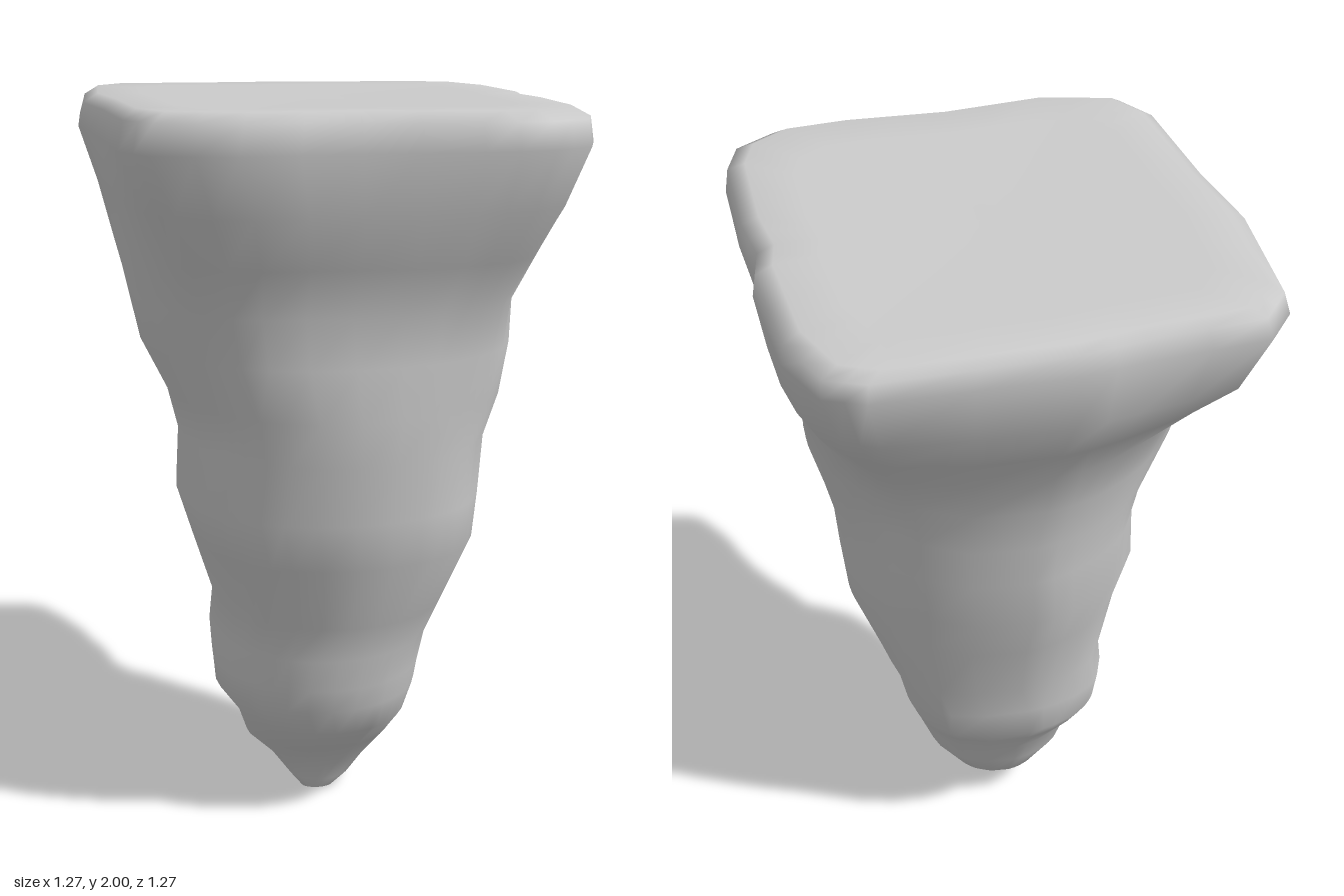
import * as THREE from 'three';

// Rounded-square plan outline of the top, counter-clockwise from above (x, z)
const OUTLINE = [
  [-0.53, -0.59], [-0.61, -0.49], [-0.635, -0.13], [-0.6, 0.12], [-0.575, 0.47],
  [-0.51, 0.58], [-0.3, 0.635], [0, 0.615], [0.3, 0.635], [0.48, 0.625],
  [0.59, 0.56], [0.63, 0.45], [0.635, 0.15], [0.615, 0], [0.635, -0.1],
  [0.615, -0.42], [0.55, -0.585], [0.45, -0.63], [-0.05, -0.635], [-0.23, -0.61],
];

// Cross-sections: height, min x, max x, min z, max z, squareness
const SECTIONS = [
  [0.01, -0.07, 0.02, 0.1, 0.16, 0],
  [0.04, -0.1, 0.07, 0.03, 0.17, 0],
  [0.1, -0.15, 0.13, -0.08, 0.2, 0],
  [0.17, -0.22, 0.19, -0.11, 0.25, 0],
  [0.26, -0.25, 0.23, -0.15, 0.35, 0],
  [0.34, -0.31, 0.26, -0.2, 0.38, 0],
  [0.41, -0.315, 0.275, -0.25, 0.4, 0],
  [0.5, -0.32, 0.295, -0.255, 0.41, 0],
  [0.6, -0.31, 0.34, -0.27, 0.43, 0],
  [0.79, -0.37, 0.415, -0.325, 0.5, 0],
  [0.92, -0.41, 0.43, -0.36, 0.52, 0],
  [1.08, -0.4, 0.445, -0.385, 0.53, 0.05],
  [1.2, -0.43, 0.475, -0.39, 0.54, 0.1],
  [1.34, -0.5, 0.515, -0.42, 0.54, 0.15],
  [1.47, -0.53, 0.53, -0.455, 0.545, 0.3],
  [1.6, -0.56, 0.59, -0.545, 0.59, 0.45],
  [1.74, -0.59, 0.615, -0.635, 0.63, 0.75],
  [1.89, -0.635, 0.635, -0.635, 0.64, 1],
  [1.95, -0.62, 0.625, -0.62, 0.635, 1],
  [1.975, -0.58, 0.58, -0.6, 0.6, 1],
];

// Local swellings and hollows: angle from +z toward +x, height, spread, amount
const BUMPS = [
  [-0.2, 1.55, 0.16, -0.06], [-0.1, 1.18, 0.14, 0.02],
  [-0.8, 0.85, 0.16, 0.07], [0.8, 0.85, 0.16, 0.05],
  [1.25, 1.6, 0.16, -0.05], [1.05, 1.22, 0.1, 0.03],
  [2.36, 1.28, 0.13, -0.09], [2.36, 0.5, 0.18, 0.13],
  [-2.36, 1.43, 0.15, -0.09], [-2.36, 0.55, 0.18, 0.1],
];

// Outline with midpoints added
const ring = OUTLINE.flatMap((p, i) => {
  const q = OUTLINE[(i + 1) % OUTLINE.length];
  return [p, [(p[0] + q[0]) / 2, (p[1] + q[1]) / 2]];
});

function bumpScale(angle, y) {
  let s = 1;
  for (const [a, h, spread, amount] of BUMPS) {
    const da = Math.atan2(Math.sin(angle - a), Math.cos(angle - a)) * 0.45;
    s += amount * Math.exp(-(da * da + (y - h) ** 2) / (spread * spread));
  }
  return s;
}

// One cross-section, blended from ellipse to rounded square; the top tilts slightly
function sectionPoints([y, x0, x1, z0, z1, square]) {
  return ring.map(([px, pz]) => {
    const len = Math.hypot(px, pz);
    const s = bumpScale(Math.atan2(px, pz), y);
    const ux = THREE.MathUtils.lerp(px / len, px / 0.635, square) * s;
    const uz = THREE.MathUtils.lerp(pz / len, pz / 0.635, square) * s;
    const x = (x0 + x1) / 2 + ux * (x1 - x0) / 2;
    const z = (z0 + z1) / 2 + uz * (z1 - z0) / 2;
    const tilt = (0.032 * z - 0.012 * x) * THREE.MathUtils.smoothstep(y, 1.85, 1.97);
    return new THREE.Vector3(x, y + tilt, z);
  });
}

// Skin a stack of rings and close both ends with a centre point
function loft(rings, bottom, top) {
  const n = ring.length, points = [...rings.flat(), bottom, top], index = [];
  const last = (rings.length - 1) * n, low = last + n, high = low + 1;
  for (let i = 0; i < n; i++) {
    const k = (i + 1) % n;
    for (let a = 0; a < last; a += n) {
      const b = a + n;
      index.push(a + i, a + k, b + k, a + i, b + k, b + i);
    }
    index.push(low, k, i, high, last + i, last + k);
  }
  const geometry = new THREE.BufferGeometry().setFromPoints(points);
  geometry.setIndex(index);
  geometry.computeVertexNormals();
  return geometry;
}

export function createModel() {
  const group = new THREE.Group();
  group.name = 'hangingRock';

  // Tapering body, then inset rings for the almost flat top
  const body = SECTIONS.map(sectionPoints);
  const rim = body[body.length - 1];
  const centre = new THREE.Vector3(0, 1.97, 0);
  const top = [0.2, 0.5, 0.8].map((t) => rim.map((p) => p.clone().lerp(centre, t)));

  const rock = new THREE.Mesh(
    loft([...body, ...top], new THREE.Vector3(-0.01, 0, 0.14), centre),
    new THREE.MeshStandardMaterial({ color: 0xcccccc }),
  );
  rock.name = 'rockBody';
  group.add(rock);
  return group;
}
